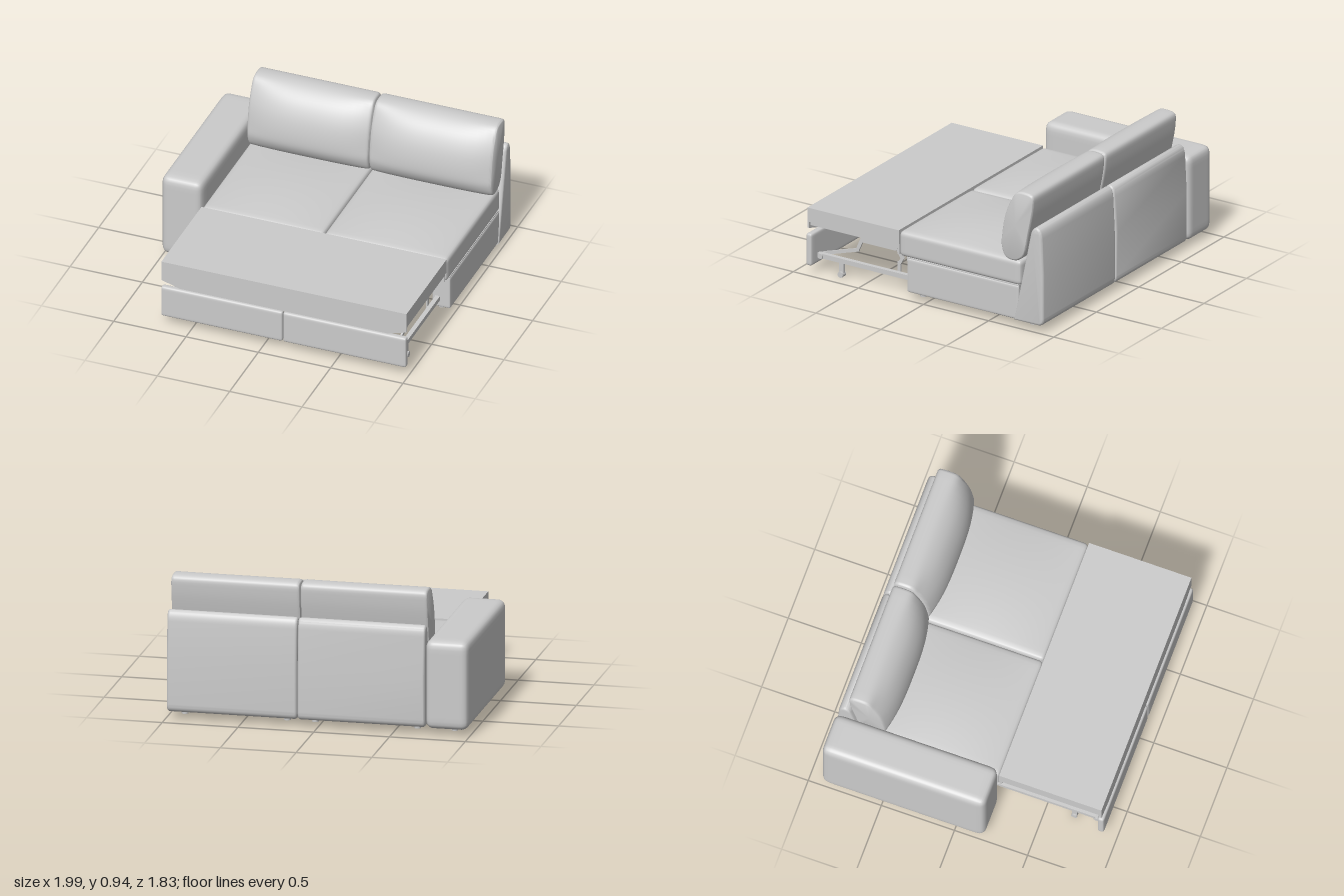
import * as THREE from 'three';
import { mergeVertices, toCreasedNormals } from 'three/addons/utils/BufferGeometryUtils.js';

const material = new THREE.MeshStandardMaterial({ color: 0xcccccc, side: THREE.DoubleSide });
const LEFT = 0.985, RIGHT = -0.71, MID = 0.132;
const BAYS = [[RIGHT, MID - 0.002], [MID + 0.002, LEFT]];

function add(parent, name, geometry) {
  const mesh = new THREE.Mesh(geometry, material);
  mesh.name = name;
  parent.add(mesh);
  return mesh;
}

// Plain box given by its limits
function box(x0, x1, y0, y1, z0, z1) {
  return new THREE.BoxGeometry(x1 - x0, y1 - y0, z1 - z0)
    .translate((x0 + x1) / 2, (y0 + y1) / 2, (z0 + z1) / 2);
}

// Upholstered box with rounded edges and an optional domed top
function softBox(x0, x1, y0, y1, z0, z1, r, dome = 0) {
  const half = [(x1 - x0) / 2, (y1 - y0) / 2, (z1 - z0) / 2];
  let g = new THREE.BoxGeometry(2, 2, 2, 20, 20, 20);
  g.deleteAttribute('uv');
  g.deleteAttribute('normal');
  g = mergeVertices(g);
  const pos = g.attributes.position, p = new THREE.Vector3(), inner = new THREE.Vector3();
  for (let i = 0; i < pos.count; i++) {
    const a = [pos.getX(i), pos.getY(i), pos.getZ(i)]
      .map((t, k) => Math.sin(t * Math.PI / 2) * half[k]);
    p.fromArray(a);
    inner.fromArray(a.map((v, k) => THREE.MathUtils.clamp(v, r - half[k], half[k] - r)));
    p.sub(inner).normalize().multiplyScalar(r).add(inner);
    if (p.y > 0) {
      const u = p.x / half[0], v = p.z / half[2];
      p.y += dome * (1 - u * u) * (1 - v * v) * p.y / half[1];
    }
    pos.setXYZ(i, p.x, p.y, p.z);
  }
  g.computeVertexNormals();
  return g.translate((x0 + x1) / 2, (y0 + y1) / 2, (z0 + z1) / 2);
}

// Extrudes a side outline (z, y) from x0 to x1 with softened edges
function sideExtrude(shape, x0, x1, bevel) {
  const g = new THREE.ExtrudeGeometry(shape, {
    depth: x1 - x0 - 2 * bevel, bevelEnabled: bevel > 0, bevelSize: bevel,
    bevelThickness: bevel, bevelOffset: -bevel, bevelSegments: 4, curveSegments: 10,
  });
  g.translate(0, 0, bevel - x1).rotateY(-Math.PI / 2);
  return toCreasedNormals(g, 0.6);
}

// Back cushion: side outlines (z, y), fuller in the middle than at the ends
const BACK_EDGE = [[-0.70, 0.93], [-0.77, 0.94], [-0.822, 0.925], [-0.825, 0.85],
  [-0.79, 0.66], [-0.745, 0.49], [-0.68, 0.45]];
const closed = pts => new THREE.CatmullRomCurve3(
  pts.map(([z, y]) => new THREE.Vector3(0, y, z)), true);
const FULL = closed([[-0.60, 0.465], [-0.545, 0.54], [-0.535, 0.62], [-0.56, 0.76],
  [-0.62, 0.87], ...BACK_EDGE]);
const SEAM = closed([[-0.615, 0.465], [-0.585, 0.54], [-0.59, 0.62], [-0.615, 0.76],
  [-0.66, 0.87], ...BACK_EDGE]);

function backCushion(x0, x1) {
  const N = 56, M = 16, centre = new THREE.Vector3(0, 0.7, -0.69);
  const ends = [[-1, 0], [-1, 0.94], [-0.992, 0.975], [-0.975, 0.995]];
  const rows = [...ends];
  for (let i = 0; i <= M; i++) rows.push([-0.95 + 1.9 * i / M, 1]);
  rows.push(...ends.map(([u, s]) => [-u, s]).reverse());
  const verts = [], index = [];
  rows.forEach(([u, s], i) => {
    const full = 1 - Math.abs(u) ** 3;
    for (let j = 0; j < N; j++) {
      const p = SEAM.getPoint(j / N).lerp(FULL.getPoint(j / N), full);
      p.sub(centre).multiplyScalar(s).add(centre);
      verts.push((x0 + x1) / 2 + u * (x1 - x0) / 2, p.y, p.z);
      if (i < rows.length - 1) {
        const a = i * N + j, c = i * N + (j + 1) % N;
        index.push(a, a + N, c, a + N, c + N, c);
      }
    }
  });
  const g = new THREE.BufferGeometry();
  g.setAttribute('position', new THREE.Float32BufferAttribute(verts, 3));
  g.setIndex(index);
  return toCreasedNormals(g, 0.7);
}

// Flat metal bar between two (z, y) points
function bar(parent, name, x, [z0, y0], [z1, y1], width) {
  const len = Math.hypot(z1 - z0, y1 - y0);
  const m = add(parent, name, new THREE.BoxGeometry(0.012, width, len + width * 0.5));
  m.position.set(x, (y0 + y1) / 2, (z0 + z1) / 2);
  m.rotation.x = Math.atan2(y0 - y1, z1 - z0);
}

export function createModel() {
  const model = new THREE.Group();
  model.name = 'sofaBed';

  // Single armrest
  add(model, 'armrest', softBox(-0.995, -0.712, 0.04, 0.63, -0.915, 0.2, 0.05));

  // Leaning back frame, one per bay
  const back = new THREE.Shape();
  back.moveTo(-0.685, 0.045);
  back.lineTo(-0.813, 0.67);
  back.quadraticCurveTo(-0.825, 0.72, -0.86, 0.72);
  back.quadraticCurveTo(-0.895, 0.715, -0.9, 0.65);
  back.lineTo(-0.912, 0.4);
  back.lineTo(-0.912, 0.1);
  back.quadraticCurveTo(-0.912, 0.045, -0.87, 0.045);

  BAYS.forEach(([x0, x1]) => {
    add(model, 'backFrame', sideExtrude(back, x0, x1 + (x1 === LEFT ? 0.008 : 0), 0.018));
    add(model, 'backCushion', backCushion(x0 + 0.003, x1 - 0.003));
    add(model, 'seatCushion', softBox(x0, x1, 0.285, 0.46, -0.735, 0.2, 0.03, 0.03));
    add(model, 'drawerFront', softBox(x0, x1, 0.06, 0.283, 0.87, 0.915, 0.016));
  });

  // Base: deck and the three hollow-separating boxes
  add(model, 'seatDeck', box(RIGHT, LEFT - 0.005, 0.265, 0.29, -0.72, 0.14));
  [[RIGHT, -0.6], [0.02, 0.245], [0.86, LEFT]].forEach(([x0, x1]) =>
    add(model, 'baseBox', softBox(x0, x1, 0.05, 0.285, -0.72, 0.14, 0.012)));

  // Feet
  for (const x of [-0.88, -0.635, 0.04, 0.225, 0.9]) {
    for (const z of [0.065, -0.78]) {
      add(model, 'foot', new THREE.CylinderGeometry(0.024, 0.022, 0.045, 20))
        .position.set(x, 0.0325, z);
    }
  }

  // Pulled-out bed panel with its board and front lip
  add(model, 'bedPanel', box(RIGHT, LEFT, 0.367, 0.465, 0.2, 0.9));
  add(model, 'bedBoard', box(RIGHT + 0.01, LEFT - 0.01, 0.343, 0.367, 0.2, 0.885));
  add(model, 'bedRearRail', box(RIGHT + 0.01, LEFT - 0.01, 0.295, 0.343, 0.2, 0.215));
  const lip = new THREE.Shape([[RIGHT, 0.367], [RIGHT, 0.325], [RIGHT + 0.13, 0.287],
    [LEFT - 0.13, 0.287], [LEFT, 0.325], [LEFT, 0.367]].map(p => new THREE.Vector2(...p)));
  add(model, 'frontLip', new THREE.ExtrudeGeometry(lip, { depth: 0.012, bevelEnabled: false })
    .translate(0, 0, 0.888));

  // Sliding rails and folding linkage on both sides
  for (const [x, inward] of [[-0.635, 1], [0.9, -1]]) {
    const side = new THREE.Group();
    side.name = 'slideMechanism';
    model.add(side);
    add(side, 'slideRail', box(x - 0.015, x + 0.015, 0.1, 0.132, 0.1, 0.87));
    const lx = x + inward * 0.022;
    bar(side, 'linkArm', lx, [0.84, 0.125], [0.585, 0.205], 0.022);
    bar(side, 'linkArm', lx, [0.585, 0.205], [0.55, 0.285], 0.024);
    bar(side, 'linkArm', lx, [0.285, 0.30], [0.24, 0.225], 0.026);
    bar(side, 'linkArm', lx, [0.24, 0.225], [0.265, 0.18], 0.022);
    bar(side, 'linkArm', lx, [0.265, 0.19], [0.265, 0.12], 0.024);
    const plate = new THREE.Shape([[0.59, 0.345], [0.54, 0.268], [0.29, 0.268], [0.24, 0.345]]
      .map(p => new THREE.Vector2(...p)));
    add(side, 'linkPlate', sideExtrude(plate, lx - 0.008, lx + 0.008, 0));
    // Support leg with a small wheel
    add(side, 'supportLeg', box(x - 0.008, x + 0.008, 0.02, 0.105, 0.675, 0.71));
    add(side, 'wheel', new THREE.CylinderGeometry(0.02, 0.02, 0.04, 20).rotateZ(Math.PI / 2))
      .position.set(x, 0.02, 0.692);
    add(side, 'railPivot', new THREE.CylinderGeometry(0.018, 0.018, 0.05, 16).rotateZ(Math.PI / 2))
      .position.set(x, 0.116, 0.845);
  }
  return model;
}
